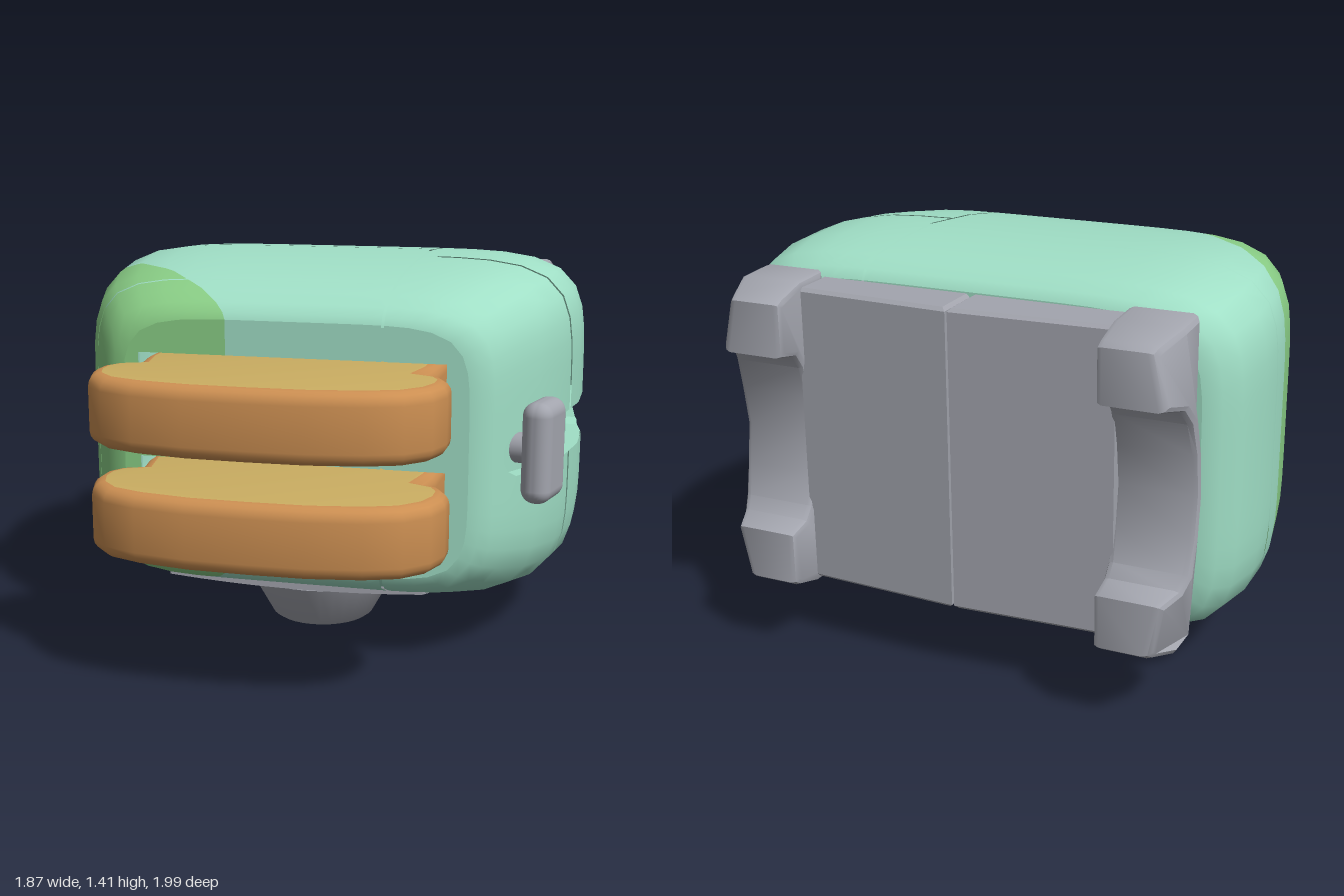
import * as THREE from 'three';
import { toCreasedNormals } from 'three/addons/utils/BufferGeometryUtils.js';
import { RoundedBoxGeometry } from 'three/addons/geometries/RoundedBoxGeometry.js';

const mat = (name, color, side = THREE.FrontSide) => {
  const m = new THREE.MeshStandardMaterial({ color, side });
  m.name = name;
  return m;
};

// Body rings along z: [z, half width, bottom y, top y]
const RINGS = [
  [-0.71, 0.8, 0.25, 1.31], [-0.69, 0.86, 0.21, 1.345], [-0.62, 0.905, 0.185, 1.375],
  [-0.45, 0.935, 0.165, 1.4], [-0.25, 0.935, 0.155, 1.41], [0, 0.895, 0.17, 1.39],
  [0.2, 0.83, 0.205, 1.36], [0.34, 0.75, 0.245, 1.315], [0.41, 0.7, 0.275, 1.275],
  [0.44, 0.66, 0.3, 1.245], [0.45, 0.62, 0.325, 1.22],
];

// Interpolated ring value at z (column 1, 2 or 3)
function ringAt(z, col) {
  for (let i = 1; i < RINGS.length; i++) {
    const a = RINGS[i - 1], b = RINGS[i];
    if (z <= b[0]) return a[col] + (b[col] - a[col]) * (z - a[0]) / (b[0] - a[0]);
  }
  return RINGS[RINGS.length - 1][col];
}

// Boxy superellipse loft with closed ends, as a list of triangles of [x,y,z,nx,ny,nz]
function bodyTriangles(scale) {
  const N = 64, pos = [], idx = [], tris = [];
  for (const [z, w, y0, y1] of RINGS) {
    for (let i = 0; i < N; i++) {
      const a = i / N * Math.PI * 2, c = Math.cos(a), s = Math.sin(a);
      const r = Math.pow(c ** 6 + s ** 6, -1 / 6);
      const cy = (y0 + y1) / 2, h = (y1 - y0) / 2;
      pos.push(r * c * w * scale, cy + r * s * h * scale, -0.13 + (z + 0.13) * scale);
    }
  }
  for (let j = 0; j < RINGS.length - 1; j++) for (let i = 0; i < N; i++) {
    const a = j * N + i, b = j * N + (i + 1) % N;
    idx.push(a, b, b + N, a, b + N, a + N);
  }
  const g = new THREE.BufferGeometry();
  g.setAttribute('position', new THREE.Float32BufferAttribute(pos, 3));
  g.setIndex(idx);
  g.computeVertexNormals();
  const nor = g.attributes.normal.array;
  const vert = (i) => [...pos.slice(i * 3, i * 3 + 3), ...nor.slice(i * 3, i * 3 + 3)];
  for (let i = 0; i < idx.length; i += 3) tris.push([vert(idx[i]), vert(idx[i + 1]), vert(idx[i + 2])]);
  for (const [j, nz] of [[0, -1], [RINGS.length - 1, 1]]) {
    const flat = (i) => [...pos.slice((j * N + i % N) * 3, (j * N + i % N) * 3 + 3), 0, 0, nz];
    const centre = [0, 0.78, pos[j * N * 3 + 2], 0, 0, nz];
    for (let i = 0; i < N; i++) tris.push(nz > 0 ? [centre, flat(i), flat(i + 1)] : [centre, flat(i + 1), flat(i)]);
  }
  return tris;
}

// Cut triangles by a plane [nx,ny,nz,c]; returns [in front, behind]
function split(tris, [nx, ny, nz, c]) {
  const out = [[], []];
  for (const t of tris) {
    const d = t.map((p) => nx * p[0] + ny * p[1] + nz * p[2] - c);
    [1, -1].forEach((sign, side) => {
      const poly = [];
      for (let i = 0; i < 3; i++) {
        const k = (i + 1) % 3, di = d[i] * sign, dk = d[k] * sign;
        if (di >= 0) poly.push(t[i]);
        if (di * dk < 0) poly.push(t[i].map((v, n) => v + (t[k][n] - v) * di / (di - dk)));
      }
      for (let i = 2; i < poly.length; i++) out[side].push([poly[0], poly[i - 1], poly[i]]);
    });
  }
  return out;
}

// Split with a thin gap left along the plane
const seam = (tris, [x, y, z, c], g) => [split(tris, [x, y, z, c + g])[0], split(tris, [x, y, z, c - g])[1]];

// Remove a convex region; returns [what remains, the piece cut out]
function carve(tris, planes) {
  const kept = [];
  for (const p of planes) {
    const [front, back] = split(tris, p);
    for (const t of front) kept.push(t);
    tris = back;
  }
  return [kept, tris];
}

function trisGeometry(tris) {
  const g = new THREE.BufferGeometry(), v = tris.flat();
  g.setAttribute('position', new THREE.Float32BufferAttribute(v.flatMap((p) => p.slice(0, 3)), 3));
  g.setAttribute('normal', new THREE.Float32BufferAttribute(v.flatMap((p) => p.slice(3)), 3));
  return g;
}

// Bevelled extrusion that keeps the outline's size
function slab(points, depth, bevel, segments = 3) {
  const shape = new THREE.Shape(points.map((p) => new THREE.Vector2(...p)));
  const g = new THREE.ExtrudeGeometry(shape, {
    depth: depth - 2 * bevel, bevelThickness: bevel, bevelSize: bevel, bevelOffset: -bevel, bevelSegments: segments,
  });
  g.translate(0, 0, bevel);
  return g;
}

export function createModel() {
  const mint = mat('mint', 0xa0dfc6, THREE.DoubleSide), lime = mat('lime', 0x8ace86, THREE.DoubleSide);
  const grey = mat('grey', 0xa3a5ae), crust = mat('crust', 0xcc8f52), crumb = mat('crumb', 0xcbae62);
  const model = new THREE.Group();
  const add = (name, geometry, material, x = 0, y = 0, z = 0) => {
    const m = new THREE.Mesh(geometry, material);
    m.name = name;
    m.position.set(x, y, z);
    model.add(m);
    return m;
  };

  // Bread slots in the front
  const cutSlots = (tris) => {
    for (const y of [0.595, 0.97]) {
      tris = carve(tris, [[0, 0, -1, -0.35], [1, 0, 0, 0.54], [-1, 0, 0, 0.56], [0, 1, 0, y + 0.125], [0, -1, 0, 0.125 - y]])[0];
    }
    return tris;
  };

  // Shell panels separated by seams
  const side = [0.998, 0, 0.061, 0.346], limePlane = [-0.68, 0, 0.733, 0.492];
  const [right, left] = seam(cutSlots(bodyTriangles(1)), side, 0.005);
  const [frontPart, rest] = seam(left, [0, 0, 1, 0.27], 0.004);
  const [middlePart, backPart] = seam(rest, [0, 0, 1, -0.32], 0.004);
  [['front', frontPart], ['middle', middlePart], ['back', backPart]].forEach(([n, tris]) => {
    const [a, b] = split(tris, limePlane);
    if (a.length) add(n + 'PanelLime', trisGeometry(a), lime);
    add(n + 'Panel', trisGeometry(b), mint);
  });
  const core = split(cutSlots(bodyTriangles(0.98)), [...side.slice(0, 3), side[3] + 0.04])[1];
  add('innerShell', trisGeometry(core), mint);

  // Right panels with the recessed lever track
  const R = 0.08, TY = 0.77, ZF = 0.29, ZB = -0.57, planes = [[-1, 0, 0, -0.5]], outline = [];
  for (let k = 0; k < 12; k++) {
    const a = k * Math.PI / 6, s = Math.sin(a), c = Math.cos(a);
    planes.push([0, s, c, s * TY + c * (c > 0 ? ZF : ZB) + R]);
    const b = a + Math.PI / 12, r = R / Math.cos(Math.PI / 12);
    outline.push([TY + r * Math.sin(b), (Math.cos(b) > 0 ? ZF : ZB) + r * Math.cos(b)]);
  }
  const [panel, floor] = carve(right, planes);
  seam(panel, [0, 0, 1, -0.115], 0.009).forEach((t, i) => add(i ? 'rightBackPanel' : 'rightFrontPanel', trisGeometry(t), mint));
  seam(floor, [0, 0, 1, -0.115], 0.009).forEach((t) => add('leverTrack', trisGeometry(t), mint, -0.06));
  const wall = [];
  outline.forEach(([y0, z0], i) => {
    const [y1, z1] = outline[(i + 1) % 12];
    for (let k = 0; k < 8; k++) {
      const p = [k / 8, (k + 1) / 8].map((t) => [y0 + (y1 - y0) * t, z0 + (z1 - z0) * t]);
      const [a, b] = p.map(([y, z]) => [ringAt(z, 1), y, z]);
      const [c, d] = [a, b].map(([x, y, z]) => [x - 0.06, y, z]);
      wall.push(...a, ...b, ...d, ...a, ...d, ...c);
    }
  });
  const wallGeo = new THREE.BufferGeometry().setAttribute('position', new THREE.Float32BufferAttribute(wall, 3));
  wallGeo.computeVertexNormals();
  add('leverTrackWall', wallGeo, mint);

  // Lever knob and stem
  const knob = add('leverKnob', new RoundedBoxGeometry(0.11, 0.36, 0.21, 4, 0.05), grey, 0.85, 0.77, 0.235);
  knob.rotation.y = -0.25;
  const stem = add('leverStem', new THREE.CylinderGeometry(0.055, 0.055, 0.2, 16), grey, 0.75, 0.77, 0.21);
  stem.rotation.set(0, -0.25, Math.PI / 2);

  // Two slices of bread
  const half = [[0.53, 0.1], [0.525, 0.45], [0.505, 0.56], [0.57, 0.59], [0.605, 0.66], [0.605, 0.74],
    [0.575, 0.83], [0.5, 0.91], [0.38, 0.955], [0.2, 0.985]];
  const bread = slab([...half, [0, 0.99], ...half.map(([x, z]) => [-x, z]).reverse()], 0.24, 0.045, 4);
  bread.rotateX(Math.PI / 2);
  const breadGeo = toCreasedNormals(bread, 0.7);
  for (const y of [0.715, 1.085]) add('breadSlice', breadGeo, [crumb, crust], -0.015, y, 0);

  // Base plate in two halves with a shallow ridge
  for (const s of [-1, 1]) {
    const pts = [[0.004, 0.69], [0.56, 0.69], [0.56, 0.865], [0.004, 0.89]];
    const g = slab(pts, 1.05, 0.012, 1);
    g.rotateX(-Math.PI / 2);
    add('basePlate', g, grey, -0.01, 0.255, 0).scale.x = s;
  }

  // Side brackets, each with two feet and a hollow between them
  const profile = [[0.72, 0.23], [0.86, 0.235], [0.97, 0.27], [1, 0.29], [1, 0.47], [0.91, 0.49], [0.875, 0.53],
    [0.845, 0.64], [0.825, 0.78], [0.845, 0.92], [0.875, 1.03], [0.91, 1.08], [1, 1.1], [1, 1.28], [0.97, 1.295],
    [0.86, 1.325], [0.72, 1.33]];
  const bracket = slab(profile, 0.28, 0.02, 2);
  bracket.rotateY(Math.PI / 2);
  bracket.translate(0.545, 0, 0);
  const bp = bracket.attributes.position;
  for (let i = 0; i < bp.count; i++) {
    if (bp.getX(i) < 0.7) continue;
    const taper = Math.max(0, -bp.getZ(i) - 0.85) * 0.4 + Math.max(0, Math.abs(bp.getY(i) - 0.78) - 0.35) * 0.25;
    bp.setX(i, bp.getX(i) - taper);
  }
  const bracketGeo = toCreasedNormals(bracket, 0.5);
  for (const s of [-1, 1]) add('footBracket', bracketGeo, grey, -0.01, 0, 0).scale.x = s;

  // Round stand under the body
  const stand = new THREE.LatheGeometry([[0, 0], [0.18, 0], [0.197, 0.012], [0.285, 0.17], [0.27, 0.2]]
    .map((p) => new THREE.Vector2(...p)), 32);
  add('stand', toCreasedNormals(stand, 0.6), grey, -0.02, 0, -0.085);

  // Curved lip under the front edge
  const lip = new THREE.BoxGeometry(0.95, 0.025, 0.18, 16, 1, 6);
  lip.translate(-0.025, 0, 0.25);
  const lp = lip.attributes.position;
  for (let i = 0; i < lp.count; i++) {
    lp.setY(i, lp.getY(i) + ringAt(lp.getZ(i), 2) - 0.01 + 0.02 * (lp.getX(i) / 0.48) ** 2);
  }
  lip.computeVertexNormals();
  add('frontLip', lip, grey);

  // Studs underneath
  for (const [x, z] of [[-0.27, -0.46], [-0.02, -0.53], [0.23, -0.46]]) {
    add('stud', new THREE.CylinderGeometry(0.05, 0.05, 0.03, 20), crumb, x, 0.165, z);
  }
  return model;
}
